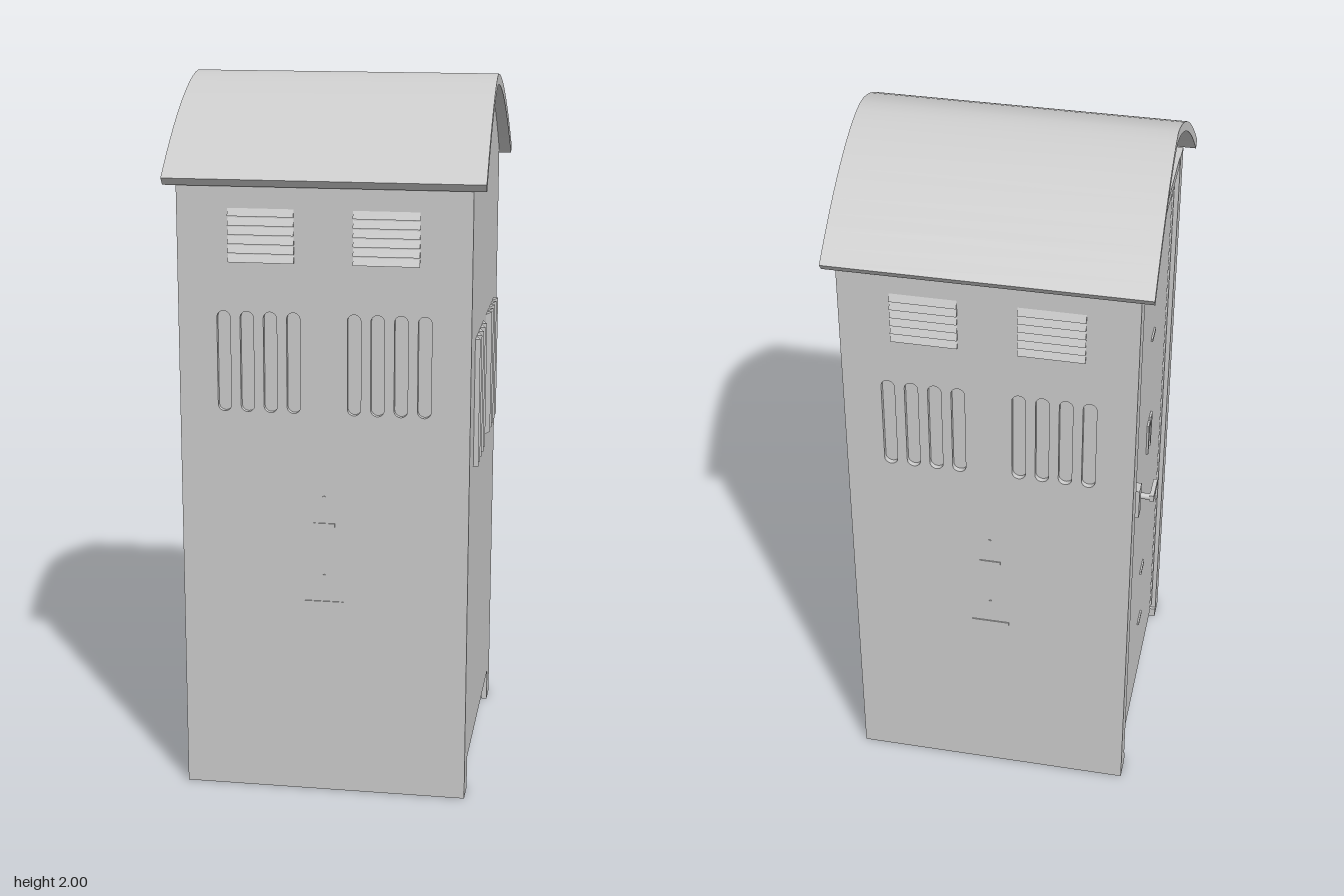
import * as THREE from 'three';
import { toCreasedNormals } from 'three/addons/utils/BufferGeometryUtils.js';

const grey = new THREE.MeshStandardMaterial({ color: 0xcccccc });

function add(parent, name, geo, x = 0, y = 0, z = 0) {
  const m = new THREE.Mesh(geo, grey);
  m.name = name;
  m.position.set(x, y, z);
  parent.add(m);
  return m;
}

// box given by its limits on each axis
function block(parent, name, [x0, x1], [y0, y1], [z0, z1]) {
  return add(parent, name, new THREE.BoxGeometry(x1 - x0, y1 - y0, z1 - z0),
    (x0 + x1) / 2, (y0 + y1) / 2, (z0 + z1) / 2);
}

const extrude = (shape, depth) =>
  new THREE.ExtrudeGeometry(shape, { depth, bevelEnabled: false, curveSegments: 10 });
const polygon = (pts) => new THREE.Shape(pts.map(([a, b]) => new THREE.Vector2(a, b)));

// profile of [z, y] points extruded along x from x0 to x1
function alongX(pts, x0, x1) {
  return extrude(polygon(pts.map(([z, y]) => [-z, y])), x1 - x0).rotateY(Math.PI / 2).translate(x0, 0, 0);
}

// arched roof line
const EAVE = 0.425;
const roofY = (z) => 2 - 0.25 * Math.pow(Math.abs(z) / EAVE, 1.6);
function arch(halfWidth, fn, n = 24) {
  return Array.from({ length: n + 1 }, (_, i) => {
    const z = halfWidth * (1 - 2 * i / n);
    return fn(z);
  });
}

function createRoof() {
  const top = arch(EAVE, (z) => [z, roofY(z)]);
  const under = arch(EAVE, (z) => [z * 0.965, roofY(z) - 0.03 + 0.01 * Math.abs(z) / EAVE]).reverse();
  const geo = alongX([...top, ...under], -1, 1);
  // the ends flare slightly toward the eaves
  const p = geo.attributes.position;
  for (let i = 0; i < p.count; i++) {
    p.setX(i, p.getX(i) * (0.426 + 0.009 * Math.abs(p.getZ(i)) / EAVE));
  }
  return toCreasedNormals(geo, 0.6);
}

// front wall with slots, louvres and small fittings; also used for the back
function createEndWall(name) {
  const wall = new THREE.Group();
  wall.name = name;
  const panel = polygon([[-0.4, 0], [0.4, 0], [0.4, 1.735], [-0.4, 1.735]]);
  const r = 0.0185;
  for (const side of [-1, 1]) {
    for (let i = 0; i < 4; i++) {
      const x = side * (0.083 + 0.064 * i);
      const slot = new THREE.Path();
      slot.absarc(x, 1.39 - r, r, 0, Math.PI);
      slot.absarc(x, 1.11 + r, r, Math.PI, 2 * Math.PI);
      slot.closePath();
      panel.holes.push(slot);
    }
    // louvred vent
    for (let i = 0; i < 6; i++) {
      const y = 1.525 + 0.025 * i;
      add(wall, 'ventSlat', alongX([[0.399, y], [0.409, y], [0.399, y + 0.023]], -0.09, 0.09), side * 0.17);
    }
  }
  add(wall, 'slottedPanel', extrude(panel, 0.015), 0, 0, 0.385);
  block(wall, 'footRail', [-0.4, 0.4], [0, 0.031], [0.33, 0.386]);
  // label holders and rivets
  for (const [y, half] of [[0.795, 0.03], [0.567, 0.054]]) {
    block(wall, 'labelHolder', [-half, half], [y - 0.005, y + 0.005], [0.399, 0.403]);
    add(wall, 'rivet', new THREE.CylinderGeometry(0.004, 0.004, 0.004, 10).rotateX(Math.PI / 2), 0, y + 0.08, 0.401);
  }
  return wall;
}

// closed side wall with two banks of upright louvres
function createSideWall() {
  const wall = new THREE.Group();
  wall.name = 'sideWall';
  const gable = arch(0.385, (z) => [z, roofY(z) - 0.02]);
  add(wall, 'sidePanel', alongX([...gable, [-0.385, 0], [-0.325, 0], [-0.325, 0.095],
    [0.325, 0.095], [0.325, 0], [0.385, 0]], 0.384, 0.4));
  for (const side of [-1, 1]) {
    for (let i = 0; i < 5; i++) {
      const tri = polygon([[-0.001, 0], [0.014, 0], [-0.001, side * 0.045]]);
      add(wall, 'sideLouvre', extrude(tri, 0.36).rotateX(-Math.PI / 2), 0.4, 0.95, side * (0.29 - 0.0515 * i));
    }
  }
  return wall;
}

// recessed door with frame, seals, handle and fittings
function createDoorSide() {
  const g = new THREE.Group();
  g.name = 'doorSide';
  for (const s of [-1, 1]) {
    const zs = [s * 0.34, s * 0.386].sort((a, b) => a - b);
    block(g, 'doorPost', [-0.4, -0.37], [0, 1.735], zs);
    add(g, 'doorSeal', new THREE.CapsuleGeometry(0.007, 1.61, 4, 10), -0.381, 0.86, s * 0.328);
  }
  block(g, 'doorHeader', [-0.398, -0.37], [1.705, 1.735], [-0.34, 0.34]);
  add(g, 'topSeal', new THREE.CapsuleGeometry(0.007, 0.64, 4, 10).rotateX(Math.PI / 2), -0.381, 1.69, 0);
  block(g, 'door', [-0.385, -0.37], [0.035, 1.675], [-0.313, 0.313]);
  for (const y of [1.59, 1.36, 0.5, 0.29]) {
    block(g, 'doorFitting', [-0.39, -0.38], [y - 0.005, y + 0.005], [-0.03, 0.03]);
  }
  // pair of tapered tabs
  for (const z of [-0.015, 0.03]) {
    add(g, 'doorTab', alongX([[z - 0.015, 1.06], [z + 0.015, 1.06], [z + 0.005, 0.95], [z - 0.005, 0.95]], -0.391, -0.38));
  }
  // lever handle
  const handle = new THREE.Group();
  handle.name = 'doorHandle';
  block(handle, 'handlePlate', [-0.402, -0.38], [0.92, 1.015], [-0.275, -0.235]);
  add(handle, 'handleSpindle', new THREE.CylinderGeometry(0.009, 0.009, 0.045, 14).rotateZ(Math.PI / 2), -0.415, 0.98, -0.247);
  block(handle, 'handleLever', [-0.44, -0.428], [0.97, 0.99], [-0.256, -0.178]);
  g.add(handle);
  return g;
}

export function createModel() {
  const model = new THREE.Group();
  model.name = 'cabinet';

  // solid core with floor and gable
  const gable = arch(0.385, (z) => [z, roofY(z) - 0.02]);
  add(model, 'core', alongX([...gable, [-0.385, 0.03], [0.385, 0.03]], -0.38, 0.385));

  const front = createEndWall('frontWall');
  const back = createEndWall('backWall');
  back.rotation.y = Math.PI;
  model.add(front, back, createSideWall(), createDoorSide());
  add(model, 'roof', createRoof());
  return model;
}
